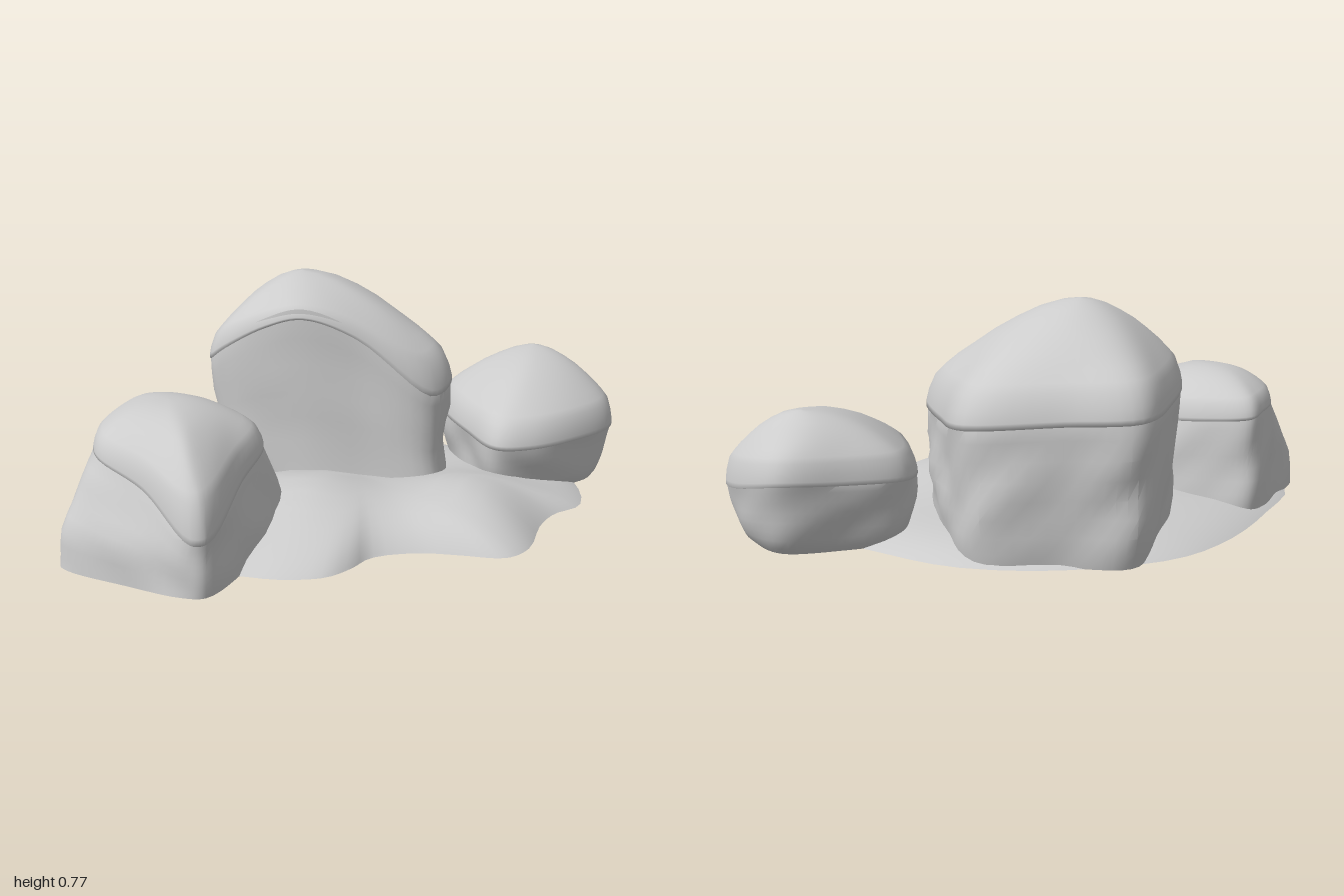
import * as THREE from 'three';
import { toCreasedNormals } from 'three/addons/utils/BufferGeometryUtils.js';

const SEGMENTS = 72;
const lerp = THREE.MathUtils.lerp;

// Closed smooth outline sampled evenly between its control points
function outline(points) {
  const curve = new THREE.CatmullRomCurve3(points.map(p => new THREE.Vector3(...p)), true, 'centripetal');
  return Array.from({ length: SEGMENTS }, (_, i) => curve.getPoint(i / SEGMENTS));
}

// Average each point with its neighbours to round off corners
function soften(ring, reach) {
  return ring.map((_, i) => {
    const sum = new THREE.Vector3();
    for (let k = -reach; k <= reach; k++) sum.add(ring[(i + k + SEGMENTS) % SEGMENTS]);
    return sum.divideScalar(2 * reach + 1);
  });
}

// Skin a stack of rings, counter-clockwise from above, listed bottom to top
function loft(rings, crease) {
  const positions = [], index = [];
  for (const ring of rings) for (const p of ring) positions.push(p.x, p.y, p.z);
  for (let r = 0; r < rings.length - 1; r++) {
    for (let i = 0; i < SEGMENTS; i++) {
      const j = (i + 1) % SEGMENTS, a = r * SEGMENTS, b = a + SEGMENTS;
      index.push(a + i, a + j, b + j, a + i, b + j, b + i);
    }
  }
  const geometry = new THREE.BufferGeometry();
  geometry.setAttribute('position', new THREE.Float32BufferAttribute(positions, 3));
  geometry.setIndex(index);
  geometry.computeVertexNormals();
  return crease ? toCreasedNormals(geometry, crease) : geometry;
}

const rough = p => 0.5 * Math.sin(13 * p.x + 9 * p.y + 2) * Math.sin(11 * p.z - 8 * p.y)
  + 0.35 * Math.sin(24 * p.y + 17 * p.x) * Math.cos(21 * p.z + 5 * p.x);

// Craggy body rising from the foot to the rim, with a soft rounded cap on top.
// lean below 1 spreads early (undercut foot), above 1 spreads late (flared foot)
function boulder(name, { foot, rim, peak, base, power, lean }, material) {
  const group = new THREE.Group();
  group.name = name;
  const top = new THREE.Vector3(...peak);
  const low = outline(foot.map(([x, z]) => [x, 0, z]));
  const edge = outline(rim);
  const centre = low.reduce((s, p) => s.add(p), new THREE.Vector3()).divideScalar(SEGMENTS);

  const body = [low.map(() => centre.clone()), low];
  for (const s of [0.1, 0.22, 0.35, 0.48, 0.62, 0.76, 0.9, 1, 1.05]) {
    body.push(low.map((p, i) => {
      const t = Math.min(s, 1);
      const q = p.clone().lerp(edge[i], Math.pow(t, lean));
      q.y = edge[i].y * s;
      const k = rough(q) * 0.06 * Math.sin(Math.PI * t) - (s > 1 ? 0.03 : 0.012 * t);
      q.x += (q.x - top.x) * k;
      q.z += (q.z - top.z) * k;
      return q;
    }));
  }
  const bodyMesh = new THREE.Mesh(loft(body, 0.45), material);
  bodyMesh.name = name + 'Body';

  const cap = [edge.map(p => {
    const q = p.clone().lerp(top, 0.04);
    q.y = p.y - 0.008;
    return q;
  })];
  for (const t of [0, 0.003, 0.02, 0.06, 0.12, 0.2, 0.3, 0.42, 0.55, 0.7, 0.85, 1]) {
    const f = base * Math.min(1, Math.sqrt(t / 0.06)) + (1 - base) * (1 - Math.pow(1 - t, power));
    cap.push(soften(edge, Math.round(12 * t)).map(p => new THREE.Vector3(
      lerp(p.x, top.x, t), lerp(p.y, top.y, f), lerp(p.z, top.z, t))));
  }
  const capMesh = new THREE.Mesh(loft(cap), material);
  capMesh.name = name + 'Cap';
  group.add(bodyMesh, capMesh);
  return group;
}

// Low, lobed mound that the boulders sit in
function mound(material) {
  const edge = outline([
    [0.8, 0, 0], [0.76, 0, -0.2], [0.52, 0, -0.41], [0.27, 0, -0.58], [-0.05, 0, -0.63], [-0.4, 0, -0.55],
    [-0.6, 0, -0.38], [-0.8, 0, -0.08], [-0.95, 0, 0.25], [-0.78, 0, 0.44], [-0.5, 0, 0.52], [-0.36, 0, 0.58],
    [-0.22, 0, 0.595], [-0.13, 0, 0.55], [-0.05, 0, 0.485], [0.1, 0, 0.48], [0.22, 0, 0.52], [0.36, 0, 0.57],
    [0.45, 0, 0.52], [0.55, 0, 0.35], [0.63, 0, 0.265], [0.74, 0, 0.21],
  ]);
  const hill = (x, z, cx, cz, r) => Math.exp(-((x - cx) ** 2 + (z - cz) ** 2) / (r * r));
  const centre = new THREE.Vector3(0, 0, 0.05);
  const rings = [edge.map(() => centre.clone())];
  for (const t of [0, 0.015, 0.04, 0.08, 0.13, 0.2, 0.3, 0.42, 0.56, 0.7, 0.85, 1]) {
    rings.push(edge.map(p => {
      const q = p.clone().lerp(centre, t);
      const height = 0.06 + 0.1 * hill(q.x, q.z, -0.2, 0.17, 0.26) + 0.075 * hill(q.x, q.z, 0.34, 0.24, 0.24);
      q.y = height * (1 - Math.pow(1 - t, 7));
      return q;
    }));
  }
  const mesh = new THREE.Mesh(loft(rings, 1), material);
  mesh.name = 'groundMound';
  return mesh;
}

export function createModel() {
  const stone = new THREE.MeshStandardMaterial({ color: 0xcccccc });
  stone.name = 'pale grey stone';
  const group = new THREE.Group();
  group.name = 'boulderCluster';

  group.add(mound(stone));

  // Tall boulder at the back, its cap rising over the front face
  group.add(boulder('tallBoulder', {
    foot: [[0.25, 0.115], [0.33, -0.05], [0.29, -0.35], [0.21, -0.57], [-0.05, -0.61], [-0.26, -0.63],
      [-0.36, -0.42], [-0.43, -0.2], [-0.38, -0.12], [-0.28, -0.04], [-0.16, 0.03], [0, 0.07]],
    rim: [[0.25, 0.38, 0.06], [0.35, 0.4, -0.05], [0.31, 0.4, -0.35], [0.24, 0.42, -0.585], [-0.05, 0.44, -0.645],
      [-0.28, 0.45, -0.665], [-0.4, 0.46, -0.45], [-0.475, 0.49, -0.18], [-0.43, 0.54, -0.12],
      [-0.3, 0.62, -0.05], [-0.18, 0.65, -0.01], [0, 0.58, 0.02]],
    peak: [-0.14, 0.77, -0.24], base: 0.2, power: 1.85, lean: 0.55,
  }, stone));

  // Left-hand boulder, widest at its foot, cap dipping to a point in front
  group.add(boulder('wideFootBoulder', {
    foot: [[-0.28, 0.23], [-0.4, 0.03], [-0.6, -0.07], [-0.73, -0.1], [-0.81, -0.02], [-0.88, 0.11],
      [-1, 0.34], [-0.98, 0.39], [-0.81, 0.53], [-0.65, 0.645], [-0.58, 0.66], [-0.44, 0.49]],
    rim: [[-0.35, 0.31, 0.24], [-0.45, 0.31, 0.05], [-0.6, 0.32, -0.05], [-0.74, 0.33, -0.08], [-0.8, 0.34, 0],
      [-0.86, 0.34, 0.13], [-0.88, 0.34, 0.27], [-0.86, 0.33, 0.35], [-0.74, 0.28, 0.49],
      [-0.62, 0.17, 0.66], [-0.57, 0.17, 0.66], [-0.44, 0.26, 0.42]],
    peak: [-0.64, 0.475, 0.22], base: 0.27, power: 2.6, lean: 2,
  }, stone));

  // Right-hand boulder, undercut below its rim
  group.add(boulder('lowBoulder', {
    foot: [[0.93, -0.18], [0.89, -0.32], [0.8, -0.42], [0.62, -0.4], [0.47, -0.34], [0.43, -0.24],
      [0.44, -0.08], [0.48, 0.02], [0.6, 0.05], [0.75, 0.02], [0.87, -0.04]],
    rim: [[1, 0.18, -0.2], [0.95, 0.2, -0.36], [0.8, 0.24, -0.515], [0.6, 0.23, -0.47], [0.42, 0.22, -0.39],
      [0.385, 0.21, -0.28], [0.41, 0.2, -0.05], [0.46, 0.19, 0.12], [0.58, 0.19, 0.14],
      [0.77, 0.19, 0.075], [0.95, 0.18, -0.06]],
    peak: [0.74, 0.435, -0.32], base: 0.25, power: 2, lean: 0.55,
  }, stone));

  return group;
}
